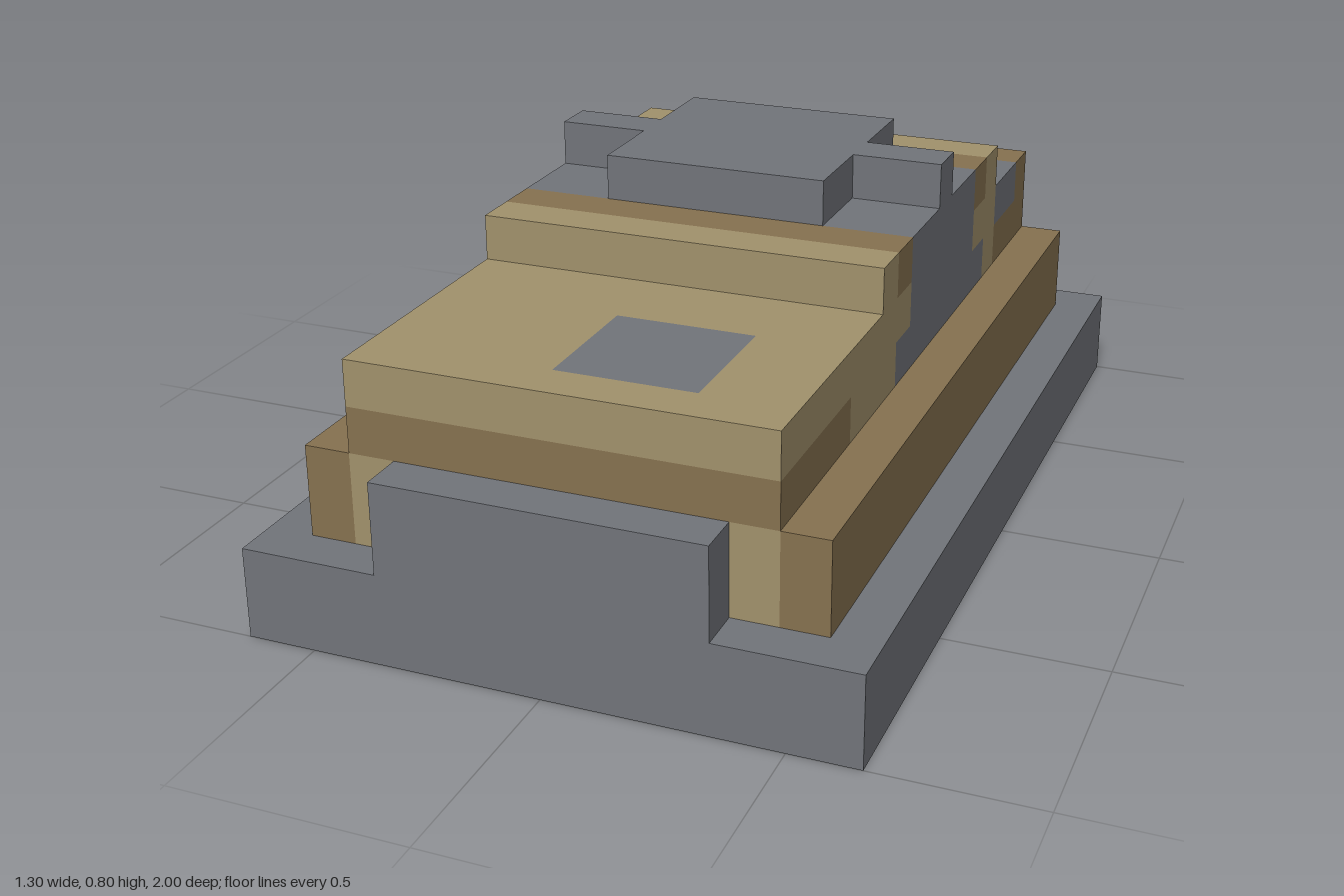
import * as THREE from 'three';

const material = (color) => new THREE.MeshStandardMaterial({ color, flatShading: true });

export function createModel() {
  const model = new THREE.Group();
  const grey = material(0x72757b);
  const darkGrey = material(0x5d6064);
  const brown = material(0x877250);
  const tan = material(0xa2926c);

  // Block given by its [min, max] range along each axis
  const block = (name, mat, [x0, x1], [y0, y1], [z0, z1]) => {
    const mesh = new THREE.Mesh(new THREE.BoxGeometry(x1 - x0, y1 - y0, z1 - z0), mat);
    mesh.position.set((x0 + x1) / 2, (y0 + y1) / 2, (z0 + z1) / 2);
    mesh.name = name;
    model.add(mesh);
  };

  // Base: rectangular rim around a darker floor
  const rectangle = (Type, w, d) => new Type([
    new THREE.Vector2(-w, -d), new THREE.Vector2(w, -d),
    new THREE.Vector2(w, d), new THREE.Vector2(-w, d),
  ]);
  const rimShape = rectangle(THREE.Shape, 0.65, 1);
  rimShape.holes.push(rectangle(THREE.Path, 0.55, 0.9));
  const rimGeometry = new THREE.ExtrudeGeometry(rimShape, { depth: 0.2, bevelEnabled: false });
  rimGeometry.rotateX(-Math.PI / 2);
  const rim = new THREE.Mesh(rimGeometry, grey);
  rim.name = 'baseRim';
  model.add(rim);
  block('baseFloor', darkGrey, [-0.55, 0.55], [0, 0.2], [-0.9, 0.9]);

  // Lower body: side skirts, core, rear plate and front panel
  const full = [-0.45, 0.45];
  block('leftSkirt', brown, [0.45, 0.55], [0.2, 0.4], [-0.9, 0.9]);
  block('rightSkirt', brown, [-0.55, -0.45], [0.2, 0.4], [-0.9, 0.9]);
  block('lowerCore', tan, full, [0.2, 0.4], [-0.8, 0.9]);
  block('lowerRear', brown, full, [0.2, 0.4], [-0.9, -0.8]);
  block('frontPanel', grey, [-0.35, 0.35], [0.2, 0.4], [0.9, 1]);

  // Stacked layers of full-width coloured bands: [material, back z, front z]
  const layer = (name, y, bands) => bands.forEach(([mat, z0, z1]) =>
    block(name, mat, full, [y, y + 0.1], [z0, z1]));
  layer('bodyBand', 0.4, [
    [brown, -0.9, -0.6], [tan, -0.6, -0.5], [grey, -0.5, 0.2], [tan, 0.2, 0.5], [brown, 0.5, 0.9],
  ]);
  layer('deckBand', 0.5, [
    [brown, -0.9, -0.8], [grey, -0.8, -0.6], [tan, -0.6, -0.4], [grey, -0.4, 0.1],
    [tan, 0.1, 0.5], [tan, 0.8, 0.9],
  ]);
  layer('upperBand', 0.6, [
    [tan, -0.6, -0.5], [brown, -0.5, -0.4], [grey, -0.4, 0.1], [brown, 0.1, 0.2], [tan, 0.2, 0.3],
  ]);

  // Flush off-centre hatch in the front deck
  block('deckRight', tan, [-0.45, -0.05], [0.5, 0.6], [0.5, 0.8]);
  block('hatch', grey, [-0.05, 0.25], [0.5, 0.6], [0.5, 0.8]);
  block('deckLeft', tan, [0.25, 0.45], [0.5, 0.6], [0.5, 0.8]);

  // Top plate with an arm on each side
  block('topPlate', grey, [-0.25, 0.25], [0.7, 0.8], [-0.4, 0.1]);
  block('topLeftArm', grey, [0.25, 0.45], [0.7, 0.8], [-0.2, -0.1]);
  block('topRightArm', grey, [-0.45, -0.25], [0.7, 0.8], [-0.2, -0.1]);

  return model;
}
